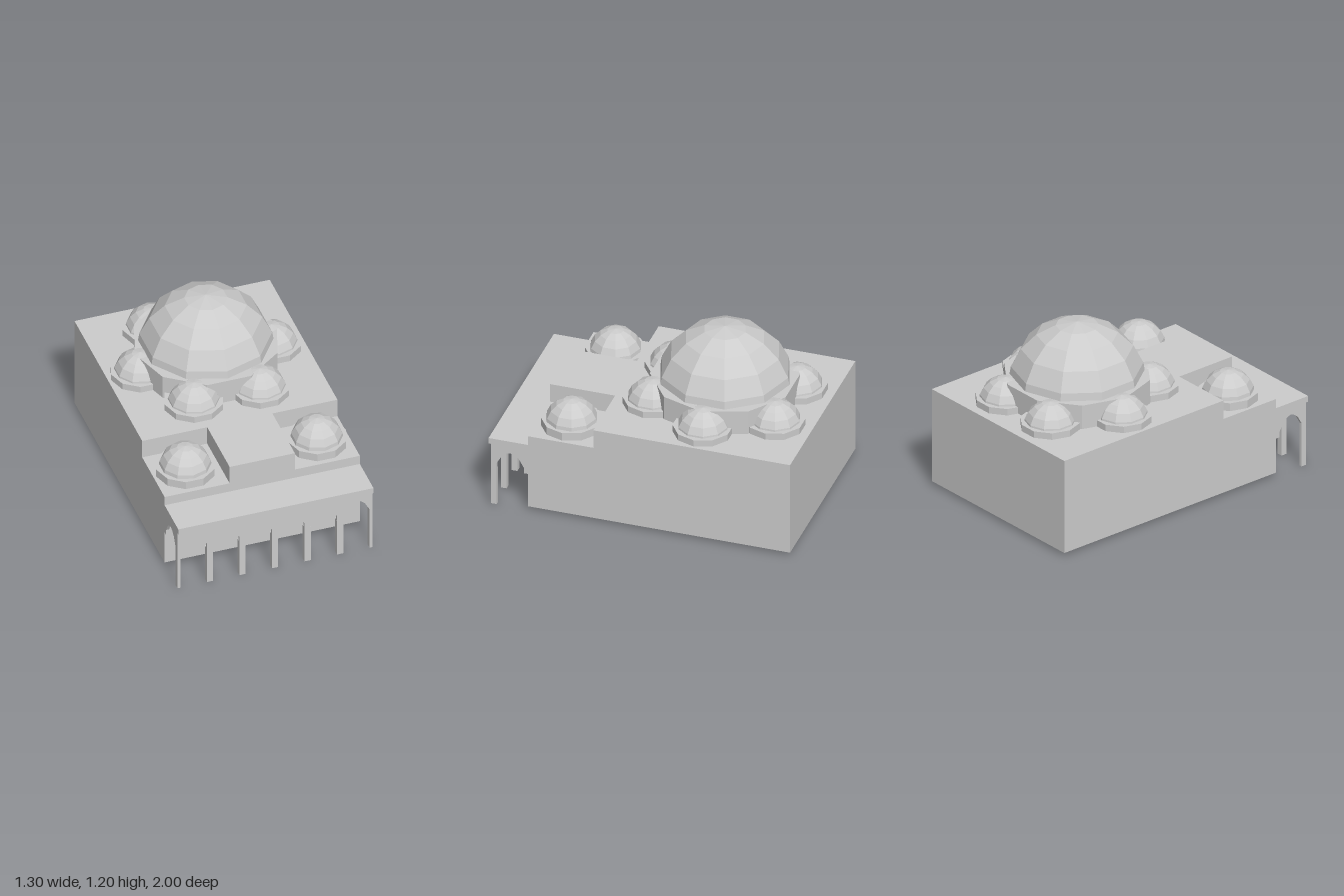
import * as THREE from 'three';

const material = new THREE.MeshStandardMaterial({ color: 0xcccccc, flatShading: true });
const SIDES = 10;

function add(parent, name, geometry, x = 0, y = 0, z = 0) {
  const mesh = new THREE.Mesh(geometry, material);
  mesh.name = name;
  mesh.position.set(x, y, z);
  parent.add(mesh);
  return mesh;
}

// Box given by its minimum and maximum corners
function addBox(parent, name, [x0, y0, z0], [x1, y1, z1]) {
  return add(parent, name, new THREE.BoxGeometry(x1 - x0, y1 - y0, z1 - z0),
    (x0 + x1) / 2, (y0 + y1) / 2, (z0 + z1) / 2);
}

// Faceted dome on a ten-sided drum; the dome's corners sit over the drum's flats
function addDome(parent, name, { x, z, base, drumTop, top, drumRadius, radius }) {
  const group = new THREE.Group();
  group.name = name;
  group.position.set(x, 0, z);
  parent.add(group);
  const drum = new THREE.CylinderGeometry(drumRadius, drumRadius, drumTop - base, SIDES, 1, false, Math.PI / 2);
  add(group, 'drum', drum, 0, (base + drumTop) / 2, 0);
  const shell = new THREE.SphereGeometry(radius, SIDES, 5, 0, Math.PI * 2, 0, Math.PI / 2);
  shell.rotateY(Math.PI / 2);
  add(group, 'domeShell', shell, 0, top - radius, 0);
}

// Wall strip above the columns, cut from below by pointed arches
const SPRING = 0.265, EAVES = 0.44;
const ARCH = [[-1, SPRING], [-1, 0.305], [-0.64, 0.362], [-0.3, 0.386], [0, 0.395],
  [0.3, 0.386], [0.64, 0.362], [1, 0.305], [1, SPRING]];

function archedPanel(start, end, centres, halfWidth, depth) {
  const shape = new THREE.Shape();
  shape.moveTo(start, EAVES);
  shape.lineTo(start, SPRING);
  for (const c of centres) {
    for (const [u, y] of ARCH) shape.lineTo(c + u * halfWidth, y);
  }
  shape.lineTo(end, SPRING);
  shape.lineTo(end, EAVES);
  return new THREE.ExtrudeGeometry(shape, { depth, bevelEnabled: false });
}

export function createModel() {
  const model = new THREE.Group();
  model.name = 'domedBuilding';

  // Main hall: full-size lower block and a T-shaped upper storey
  const W = 0.65, lowTop = 0.545, roofTop = 0.675, front = 0.737;
  addBox(model, 'hallBase', [-W, 0.025, -1], [W, lowTop, front]);
  const plan = new THREE.Shape([
    [-W, 1], [-W, -0.305], [-0.217, -0.305], [-0.217, -front],
    [0.217, -front], [0.217, -0.305], [W, -0.305], [W, 1],
  ].map(([x, y]) => new THREE.Vector2(x, y)));
  const upper = new THREE.ExtrudeGeometry(plan, { depth: roofTop - lowTop, bevelEnabled: false });
  upper.rotateX(-Math.PI / 2);
  add(model, 'upperStorey', upper, 0, lowTop, 0);

  // Great dome with a ring of six small ones around it
  const cz = -0.352;
  addDome(model, 'greatDome', { x: 0, z: cz, base: roofTop, drumTop: 0.84, top: 1.195, drumRadius: 0.473, radius: 0.44 });
  const small = { base: roofTop, drumTop: 0.72, top: 0.849, drumRadius: 0.193, radius: 0.17 };
  for (const side of [-1, 1]) {
    addDome(model, 'sideDome', { ...small, x: side * 0.438, z: cz });
    for (const dz of [-0.405, 0.405]) {
      addDome(model, 'ringDome', { ...small, x: side * 0.22, z: cz + dz });
    }
    // Lower dome on each front corner terrace
    addDome(model, 'cornerDome', { ...small, x: side * 0.438, z: 0.52, base: lowTop, drumTop: 0.6, top: 0.741 });
  }

  // Front porch: flat roof, arcade, end arches and columns
  const porch = new THREE.Group();
  porch.name = 'porch';
  model.add(porch);
  addBox(porch, 'porchRoof', [-W, EAVES, front], [W, 0.48, 1]);

  const BAYS = 6, bay = 1.3 / BAYS;
  const centres = Array.from({ length: BAYS }, (_, i) => -W + bay * (i + 0.5));
  add(porch, 'frontArcade', archedPanel(-W, W, centres, 0.0875, 0.016), 0, 0, 0.968);

  const endPanel = archedPanel(front, 0.968, [0.856], 0.09, 0.02).rotateY(-Math.PI / 2);
  add(porch, 'leftEndArch', endPanel, W, 0, 0);
  add(porch, 'rightEndArch', endPanel, -W + 0.02, 0, 0);

  for (let i = 0; i <= BAYS; i++) {
    const x = -W + bay * i;
    addBox(porch, 'column', [Math.max(x - 0.021, -W), 0, 0.946], [Math.min(x + 0.021, W), SPRING, 0.984]);
  }
  return model;
}
